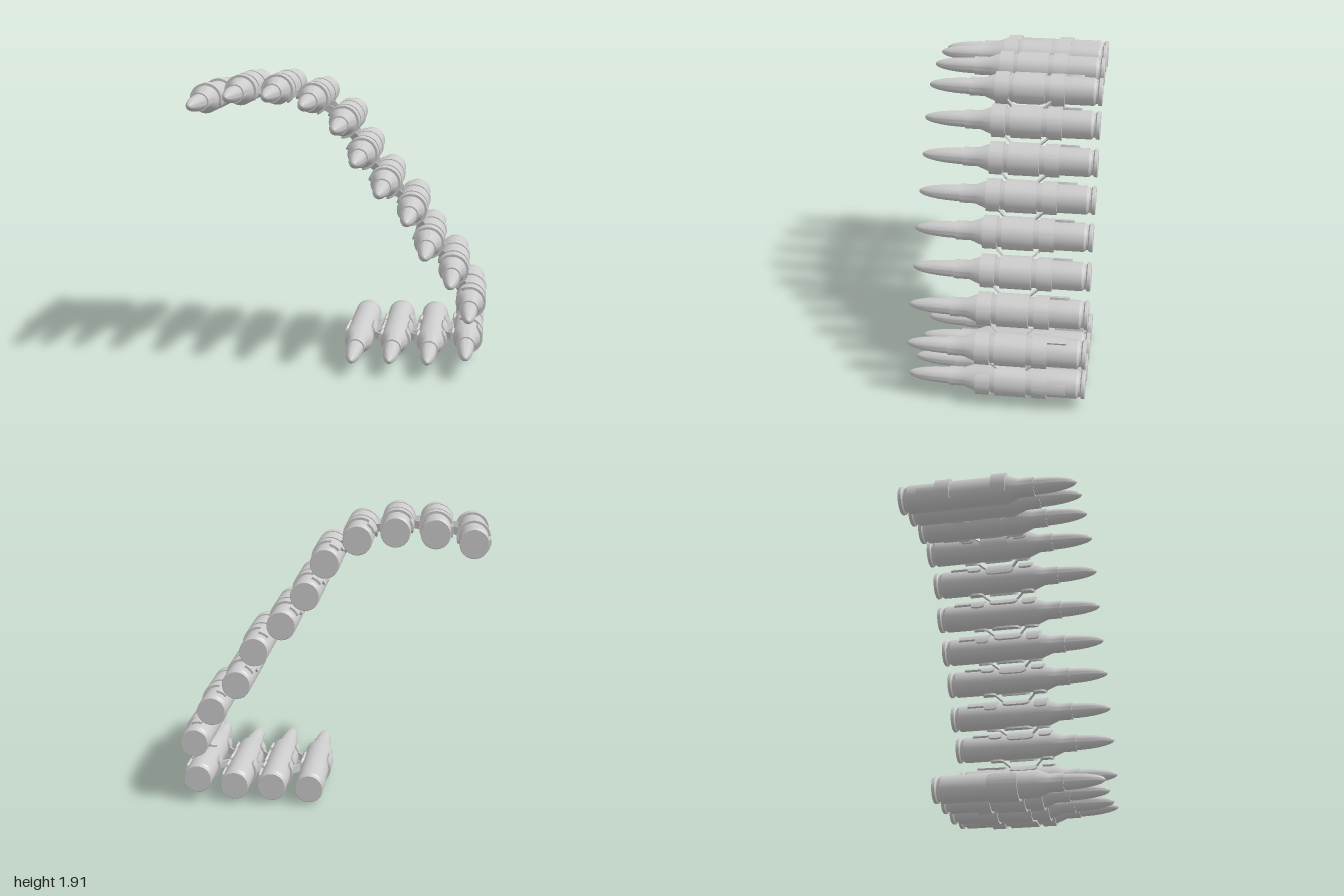
import * as THREE from 'three';
import { toCreasedNormals } from 'three/addons/utils/BufferGeometryUtils.js';

const metal = new THREE.MeshStandardMaterial({ color: 0xcccccc });
const rad = THREE.MathUtils.degToRad;

// Centres of the rounds along the curling belt
const centres = [
  [-0.888, 1.74], [-0.652, 1.797], [-0.405, 1.804], [-0.17, 1.751], [0.032, 1.602],
  [0.157, 1.393], [0.31, 1.2], [0.487, 1.025], [0.604, 0.804], [0.77, 0.623],
  [0.888, 0.404], [0.873, 0.157], [0.63, 0.118], [0.385, 0.118], [0.14, 0.111],
];

function mesh(name, geometry) {
  const m = new THREE.Mesh(geometry, metal);
  m.name = name;
  return m;
}

// Turned part along +z from [radius, z] points
function turned(points) {
  const g = new THREE.LatheGeometry(points.map(([r, z]) => new THREE.Vector2(r, z)), 40);
  return toCreasedNormals(g.rotateX(Math.PI / 2), rad(28));
}

// Curved strip around the z axis with rounded corners at both ends
function band(r0, r1, fromDeg, toDeg, zBack, zFront, corner) {
  const a0 = rad(fromDeg), a1 = rad(toDeg);
  const angles = [];
  const c = corner / r1;
  const add = (from, to, n) => {
    for (let i = 0; i < n; i++) angles.push(from + ((to - from) * i) / n);
  };
  add(a0, a0 + c, 5);
  add(a0 + c, a1 - c, Math.ceil((a1 - a0) / 0.13));
  add(a1 - c, a1, 5);
  angles.push(a1);

  const pos = [], index = [];
  for (const a of angles) {
    const edge = Math.min(a - a0, a1 - a) / c;
    const t = Math.max(0, 1 - edge);
    const inset = corner * (1 - Math.sqrt(Math.max(0, 1 - t * t)));
    const z0 = zBack + inset, z1 = zFront - inset;
    for (const [r, z] of [[r0, z0], [r1, z0], [r1, z1], [r0, z1]]) {
      pos.push(r * Math.cos(a), r * Math.sin(a), z);
    }
  }
  for (let i = 0; i < angles.length - 1; i++) {
    for (let k = 0; k < 4; k++) {
      const A = i * 4 + k, D = i * 4 + ((k + 1) % 4);
      index.push(A, A + 4, D + 4, A, D + 4, D);
    }
  }
  const e = (angles.length - 1) * 4;
  index.push(0, 1, 2, 0, 2, 3, e, e + 2, e + 1, e, e + 3, e + 2);

  const g = new THREE.BufferGeometry();
  g.setAttribute('position', new THREE.Float32BufferAttribute(pos, 3));
  g.setIndex(index);
  return toCreasedNormals(g, rad(30));
}

// Slanted bar joining an outer band to the middle band of the next round
function slantedBar(gap, zStart, zEnd) {
  const length = gap - 0.196;
  const g = new THREE.BoxGeometry(length, 0.05, 0.018);
  const p = g.attributes.position;
  for (let i = 0; i < p.count; i++) {
    const t = p.getX(i) / length + 0.5;
    p.setZ(i, p.getZ(i) + zStart + (zEnd - zStart) * t);
  }
  g.translate(gap / 2, 0, 0);
  g.computeVertexNormals();
  return g;
}

export function createModel() {
  const model = new THREE.Group();
  model.name = 'linkedBelt';

  // Case with rim, extraction groove, shoulder and neck
  const caseGeo = turned([
    [0, -0.576], [0.088, -0.576], [0.092, -0.572], [0.092, -0.554], [0.08, -0.546],
    [0.08, -0.536], [0.093, -0.52], [0.093, 0.125], [0.062, 0.205], [0.062, 0.303], [0.05, 0.303],
  ]);
  // Pointed tip
  const tipGeo = turned([
    [0.053, 0.295], [0.053, 0.34], [0.05, 0.4], [0.044, 0.46], [0.035, 0.51],
    [0.026, 0.543], [0.017, 0.562], [0.008, 0.572], [0, 0.575],
  ]);
  // Link parts, open on the inner side of the curl
  const frontBandGeo = band(0.092, 0.108, -38, 218, 0.035, 0.128, 0.025);
  const rearBandGeo = band(0.092, 0.108, -38, 218, -0.33, -0.235, 0.025);
  const middleBandGeo = band(0.092, 0.108, -36, 216, -0.2, 0.003, 0.04);
  const tabGeo = band(0.092, 0.108, 160, 200, -0.452, -0.32, 0.004);

  centres.forEach(([x, y], i) => {
    const round = new THREE.Group();
    round.name = 'round';
    round.position.set(x, y, 0);
    round.add(mesh('case', caseGeo), mesh('tip', tipGeo));
    model.add(round);

    if (i === centres.length - 1) return;

    // Link from this round to the next
    const [nx, ny] = centres[i + 1];
    const gap = Math.hypot(nx - x, ny - y);
    const link = new THREE.Group();
    link.name = 'link';
    link.position.set(x, y, 0);
    link.rotation.z = Math.atan2(ny - y, nx - x);
    const middle = mesh('middleBand', middleBandGeo);
    middle.position.x = gap;
    link.add(
      mesh('frontBand', frontBandGeo),
      mesh('rearBand', rearBandGeo),
      mesh('rearTab', tabGeo),
      middle,
      mesh('frontBar', slantedBar(gap, 0.045, -0.008)),
      mesh('rearBar', slantedBar(gap, -0.245, -0.19)),
    );
    model.add(link);
  });

  return model;
}
